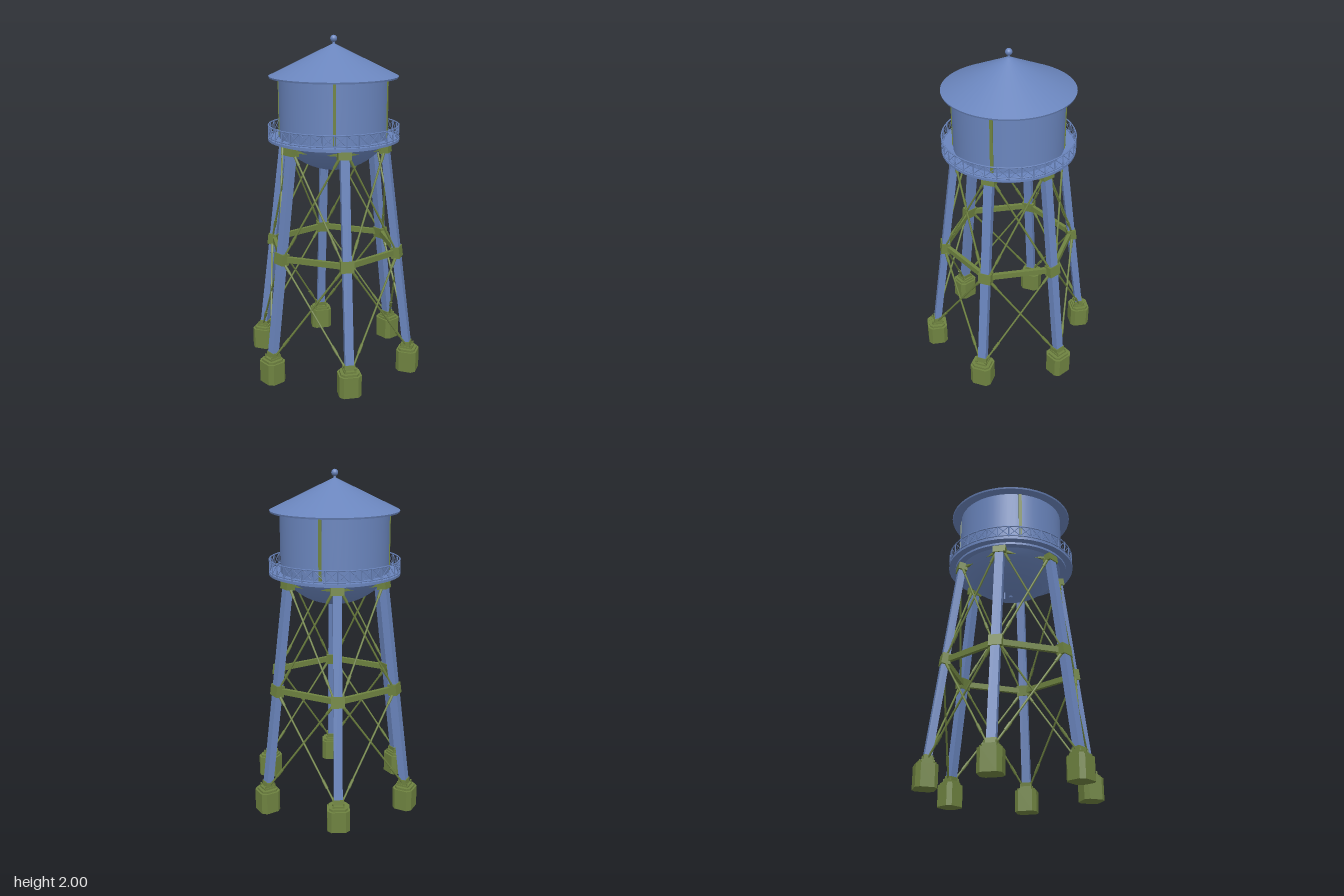
import * as THREE from 'three';

export function createModel() {
  const model = new THREE.Group();
  model.name = 'waterTower';
  const blue = new THREE.MeshStandardMaterial({ name: 'steelBlue', color: 0x6a85bd });
  const green = new THREE.MeshStandardMaterial({ name: 'oliveGreen', color: 0x6e8240 });

  const add = (parent, name, geometry, material, x = 0, y = 0, z = 0) => {
    const mesh = new THREE.Mesh(geometry, material);
    mesh.name = name;
    mesh.position.set(x, y, z);
    parent.add(mesh);
    return mesh;
  };
  const cyl = (top, bottom, h, n = 48, open = false) => new THREE.CylinderGeometry(top, bottom, h, n, 1, open);
  const box = (w, h, d) => new THREE.BoxGeometry(w, h, d);
  const up = new THREE.Vector3(0, 1, 0);
  // Round bar between two points
  const rod = (parent, name, a, b, r, material, sides = 6) => {
    const dir = b.clone().sub(a);
    const mesh = add(parent, name, cyl(r, r, dir.length(), sides), material);
    mesh.position.copy(a).add(b).multiplyScalar(0.5);
    mesh.quaternion.setFromUnitVectors(up, dir.normalize());
    return mesh;
  };
  // Point at an angle from the front, with a sideways offset
  const polar = (angle, r, y, side = 0) => new THREE.Vector3(side, y, r).applyAxisAngle(up, angle);

  // Tank shell, bowl and roof
  const tank = new THREE.Group();
  tank.name = 'tank';
  model.add(tank);
  add(tank, 'tankWall', cyl(0.317, 0.317, 0.37), blue, 0, 1.585);
  const bowlPoints = [];
  for (let i = 0; i <= 12; i++) {
    const t = (i / 12) * 1.015;
    bowlPoints.push(new THREE.Vector2(0.371 * Math.sin(t), 1.596 - 0.371 * Math.cos(t)));
  }
  add(tank, 'tankBowl', new THREE.LatheGeometry(bowlPoints, 48), blue);
  add(tank, 'drainPipe', cyl(0.005, 0.005, 0.06, 8), blue, -0.057, 1.215);
  add(tank, 'drainCap', cyl(0.014, 0.01, 0.012, 12), blue, 0, 1.222);
  add(tank, 'roofCone', cyl(0.006, 0.375, 0.18, 48, true), blue, 0, 1.862);
  add(tank, 'roofRim', cyl(0.375, 0.372, 0.01), blue, 0, 1.767);
  add(tank, 'finialStem', cyl(0.006, 0.009, 0.03, 12), blue, 0, 1.955);
  add(tank, 'finialBall', new THREE.SphereGeometry(0.02, 16, 12), blue, 0, 1.98);

  // Vertical seam straps
  for (const degrees of [-38, 50, 123, 223]) {
    const angle = THREE.MathUtils.degToRad(degrees);
    const strap = add(tank, 'seamStrap', box(0.018, 0.355, 0.008), green);
    strap.position.copy(polar(angle, 0.318, 1.59));
    strap.rotation.y = angle;
  }

  // Walkway deck and cross-braced railing
  const walkway = new THREE.Group();
  walkway.name = 'walkway';
  model.add(walkway);
  add(walkway, 'deck', cyl(0.385, 0.385, 0.014), blue, 0, 1.41);
  add(walkway, 'deckSupport', cyl(0.345, 0.345, 0.014), blue, 0, 1.397);
  for (const y of [1.427, 1.49]) {
    const rail = add(walkway, 'handrail', new THREE.TorusGeometry(0.381, 0.004, 6, 60), blue, 0, y);
    rail.rotation.x = Math.PI / 2;
  }
  const panels = 36;
  for (let i = 0; i < panels; i++) {
    const a = (i / panels) * Math.PI * 2;
    const b = ((i + 1) / panels) * Math.PI * 2;
    rod(walkway, 'railPost', polar(a, 0.381, 1.41), polar(a, 0.381, 1.494), 0.0035, blue, 5);
    rod(walkway, 'railBrace', polar(a, 0.381, 1.427), polar(b, 0.381, 1.49), 0.002, blue, 4);
    rod(walkway, 'railBrace', polar(b, 0.381, 1.427), polar(a, 0.381, 1.49), 0.002, blue, 4);
  }

  // Octagonal footing shape with cut corners
  const footingGeometry = (w, d, cut, h) => {
    const shape = new THREE.Shape([
      [w, d - cut], [w - cut, d], [cut - w, d], [-w, d - cut],
      [-w, cut - d], [cut - w, -d], [w - cut, -d], [w, cut - d],
    ].map(([x, y]) => new THREE.Vector2(x, y)));
    return new THREE.ExtrudeGeometry(shape, { depth: h, bevelEnabled: false }).rotateX(-Math.PI / 2);
  };

  // Legs, footings and joints
  const slope = 0.132;
  const legRadius = (y) => 0.478 - (y - 0.13) * slope;
  const tilt = -Math.atan(slope);
  const step = Math.PI / 3;
  for (let k = 0; k < 6; k++) {
    const leg = new THREE.Group();
    leg.name = 'legAssembly';
    leg.rotation.y = k * step;
    model.add(leg);
    add(leg, 'footing', footingGeometry(0.065, 0.061, 0.023, 0.128), green, 0, 0, 0.48);
    add(leg, 'footingCap', footingGeometry(0.054, 0.05, 0.019, 0.013), green, 0, 0.128, 0.48);
    add(leg, 'basePlate', box(0.07, 0.012, 0.075), green, 0, 0.146, 0.476);
    for (const x of [-0.03, 0.03]) for (const z of [0.446, 0.506]) {
      add(leg, 'anchorBolt', cyl(0.005, 0.005, 0.02, 6), green, x, 0.157, z);
    }
    const column = add(leg, 'leg', box(0.05, 1.262, 0.042), blue, 0, 0.765, legRadius(0.765));
    column.rotation.x = tilt;
    for (const [y, w, h, d] of [[0.165, 0.062, 0.03, 0.05], [0.747, 0.076, 0.066, 0.052], [1.365, 0.076, 0.045, 0.054]]) {
      const joint = add(leg, 'legJoint', box(w, h, d), green, 0, y, legRadius(y));
      joint.rotation.x = tilt;
    }
  }

  // Ring beams and tension rods between neighbouring legs
  const bracing = new THREE.Group();
  bracing.name = 'bracing';
  model.add(bracing);
  for (let k = 0; k < 6; k++) {
    const a = k * step;
    const b = a + step;
    for (const [y, h, d] of [[0.747, 0.034, 0.022], [1.366, 0.014, 0.014]]) {
      const r = legRadius(y);
      const beam = add(bracing, 'ringBeam', box(r - 0.05, h, d), green);
      beam.position.copy(polar(a + step / 2, r * Math.cos(step / 2), y));
      beam.rotation.y = a + step / 2;
    }
    for (const [low, high] of [[0.165, 0.725], [0.77, 1.355]]) {
      const ends = [
        [polar(a, legRadius(low), low, 0.025), polar(b, legRadius(high), high, -0.025)],
        [polar(b, legRadius(low), low, -0.025), polar(a, legRadius(high), high, 0.025)],
      ];
      for (const [p, q] of ends) {
        rod(bracing, 'tensionRod', p, q, 0.006, green);
        rod(bracing, 'turnbuckle', p.clone().lerp(q, 0.12), p.clone().lerp(q, 0.2), 0.009, green);
        rod(bracing, 'rodClevis', p.clone().lerp(q, 0.9), q, 0.009, green);
      }
    }
  }
  return model;
}
